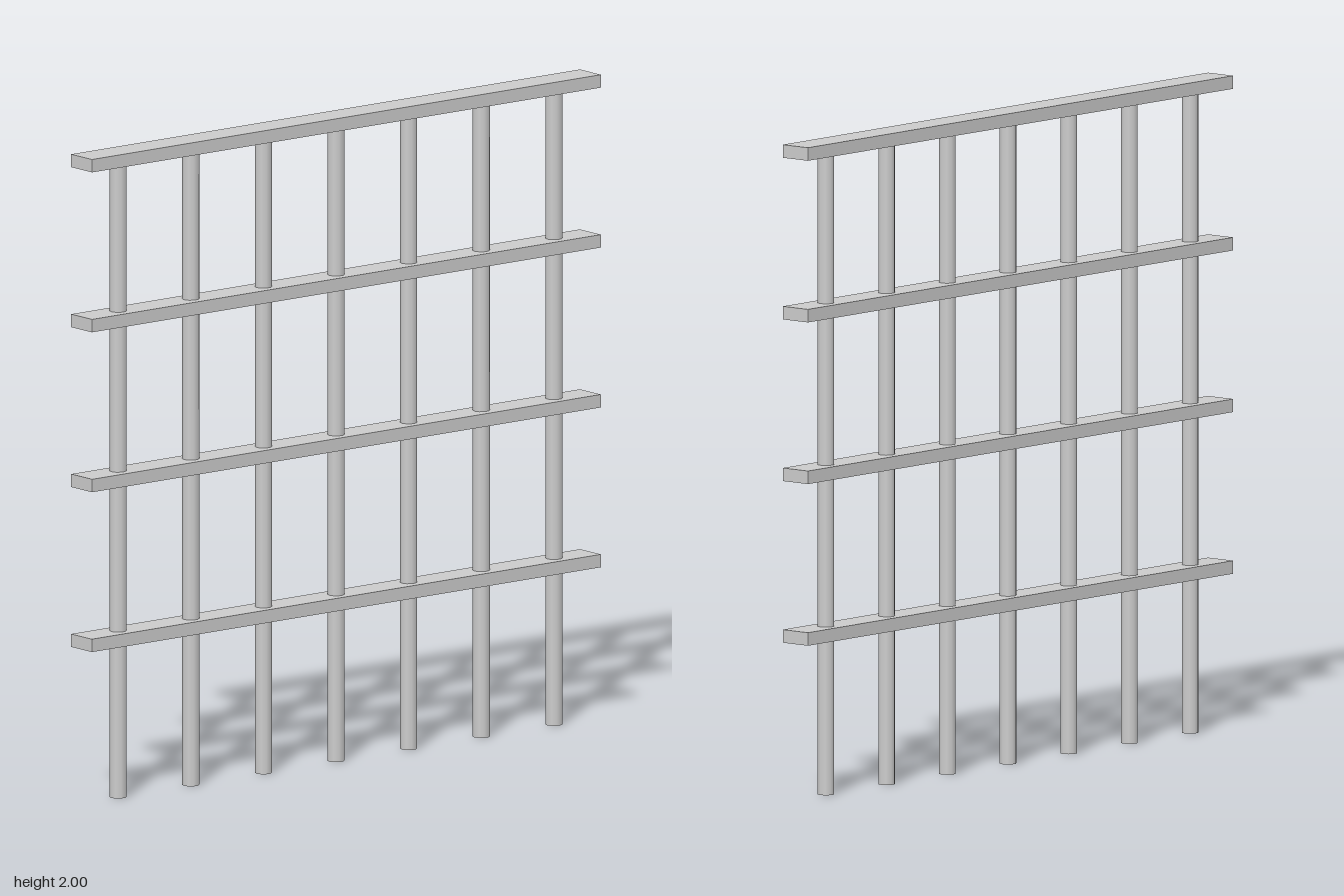
import * as THREE from 'three';

export function createModel() {
  const group = new THREE.Group();
  const material = new THREE.MeshStandardMaterial({ color: 0xcccccc });

  const add = (name, geometry, y, z) => {
    const mesh = new THREE.Mesh(geometry, material);
    mesh.name = name;
    mesh.position.set(0, y, z);
    group.add(mesh);
  };

  // Four flat rails, evenly spaced up to the top edge
  const railHeight = 0.04, railSpacing = 0.495;
  const railGeometry = new THREE.BoxGeometry(0.1, railHeight, 1.99);
  for (let i = 0; i < 4; i++) {
    add(`rail${i + 1}`, railGeometry, 2 - railHeight / 2 - (3 - i) * railSpacing, 0);
  }

  // Seven round bars running from the ground up into the top rail
  const barHeight = 1.97, barSpacing = 0.284;
  const barGeometry = new THREE.CylinderGeometry(0.026, 0.026, barHeight, 10);
  for (let i = -3; i <= 3; i++) {
    add(`bar${i + 4}`, barGeometry, barHeight / 2, i * barSpacing);
  }

  return group;
}
